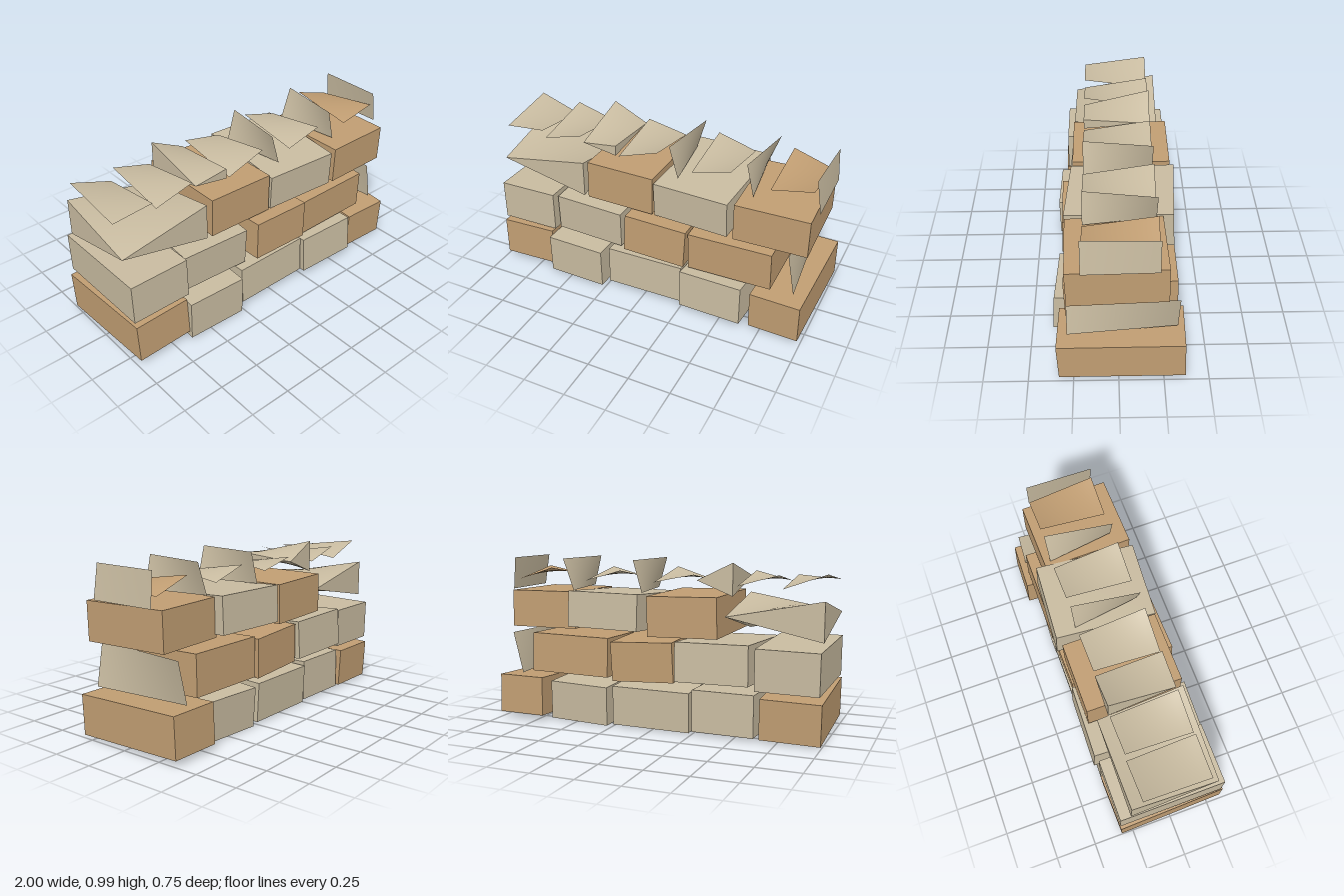
import * as THREE from 'three';
import { ParametricGeometry } from 'three/addons/geometries/ParametricGeometry.js';

const sandstone = new THREE.MeshStandardMaterial({ color: 0xc8bba0, side: THREE.DoubleSide });
sandstone.name = 'sandstone';
const clay = new THREE.MeshStandardMaterial({ color: 0xc09d72, side: THREE.DoubleSide });
clay.name = 'clay';

// Smoothly twisted surface between four corners: a-b is one edge, c-d the opposite one
function patch(name, material, a, b, c, d) {
  const [A, B, C, D] = [a, b, c, d].map((p) => new THREE.Vector3(...p));
  const p = new THREE.Vector3(), q = new THREE.Vector3();
  const geometry = new ParametricGeometry((u, v, target) => {
    p.lerpVectors(A, B, u);
    q.lerpVectors(C, D, u);
    target.lerpVectors(p, q, v);
  }, 10, 10);
  geometry.computeVertexNormals();
  const mesh = new THREE.Mesh(geometry, material);
  mesh.name = name;
  return mesh;
}

// Whole block, slightly tilted
function block(name, material, size, position, tilt) {
  const mesh = new THREE.Mesh(new THREE.BoxGeometry(...size), material);
  mesh.name = name;
  mesh.position.set(...position);
  mesh.rotation.set(...tilt);
  return mesh;
}

// Warped block: back left and front right keep an upright edge, the other corners close to a point
function warpedBlock(name, [x0, x1], [z0, z1], backLeft, frontRight, frontLeftY, backRightY) {
  const group = new THREE.Group();
  group.name = name;
  const bl = backLeft.map((y) => [x0, y, z0]);
  const fr = frontRight.map((y) => [x1, y, z1]);
  const fl = [x0, frontLeftY, z1];
  const br = [x1, backRightY, z0];
  group.add(
    patch('warpedTop', sandstone, fl, fr[1], bl[1], br),
    patch('warpedBottom', sandstone, bl[0], br, fl, fr[0]),
    patch('warpedFront', sandstone, fl, fr[0], fl, fr[1]),
    patch('warpedBack', sandstone, br, bl[0], br, bl[1]),
    patch('warpedLeft', sandstone, bl[0], fl, bl[1], fl),
    patch('warpedRight', sandstone, fr[0], br, fr[1], br),
  );
  return group;
}

export function createModel() {
  const wall = new THREE.Group();
  wall.name = 'blockWall';

  // Courses of blocks: material, size, centre, tilt
  const courses = {
    bottomBlock: [
      [clay, [0.345, 0.235, 0.66], [-0.82, 0.147, 0], [-0.04, 0.02, 0.02]],
      [sandstone, [0.37, 0.245, 0.68], [-0.445, 0.14, 0.02], [0.015, -0.03, 0]],
      [sandstone, [0.48, 0.235, 0.65], [0.005, 0.145, 0], [-0.04, 0, 0.01]],
      [sandstone, [0.385, 0.235, 0.68], [0.46, 0.143, 0.02], [-0.05, -0.05, 0.02]],
      [clay, [0.3, 0.235, 0.7], [0.84, 0.143, -0.018], [0.04, -0.03, 0]],
    ],
    middleBlock: [
      [sandstone, [0.365, 0.24, 0.64], [-0.805, 0.415, -0.01], [-0.015, 0, 0.01]],
      [sandstone, [0.44, 0.23, 0.62], [-0.382, 0.417, -0.035], [0.045, -0.03, -0.015]],
      [clay, [0.385, 0.235, 0.65], [0.065, 0.415, 0], [-0.025, 0.02, -0.04]],
      [clay, [0.505, 0.235, 0.62], [0.53, 0.412, -0.015], [0.03, 0, 0.015]],
    ],
    topBlock: [
      [clay, [0.425, 0.235, 0.57], [-0.185, 0.68, -0.03], [0, 0, -0.02]],
      [sandstone, [0.465, 0.215, 0.6], [0.292, 0.682, -0.025], [0.05, -0.065, 0.01]],
      [clay, [0.43, 0.225, 0.535], [0.75, 0.675, 0.013], [0.02, 0.025, -0.005]],
    ],
  };
  for (const [name, row] of Object.entries(courses)) {
    row.forEach(([material, size, position, tilt], i) => {
      wall.add(block(`${name}${i + 1}`, material, size, position, tilt));
    });
  }

  // Warped blocks
  wall.add(
    warpedBlock('warpedEndBlock', [-0.99, -0.43], [-0.27, 0.25], [0.575, 0.8], [0.565, 0.785], 0.69, 0.69),
    warpedBlock('warpedCapBlock', [-0.455, -0.24], [-0.21, 0.19], [0.8, 0.99], [0.853, 0.915], 0.89, 0.885),
  );

  // Lying twisted slabs: left x, right x, then heights at back left, front left, back right, front right
  [
    [sandstone, -0.99, -0.74, 0.94, 0.885, 0.85, 0.905],
    [sandstone, -0.72, -0.48, 0.928, 0.862, 0.858, 0.922],
    [sandstone, -0.22, 0.03, 0.917, 0.853, 0.864, 0.933],
    [sandstone, 0.245, 0.48, 0.928, 0.862, 0.858, 0.922],
    [clay, 0.71, 0.95, 0.933, 0.87, 0.853, 0.917],
  ].forEach(([material, x0, x1, bl, fl, br, fr], i) => {
    wall.add(patch(`lyingSlab${i + 1}`, material,
      [x0, fl, 0.19], [x1, fr, 0.19], [x0, bl, -0.21], [x1, br, -0.21]));
  });

  // Standing twisted slabs: heights, depths, then x at top front, top back, bottom front, bottom back
  [
    [0.8, 0.99, 0.19, -0.21, 0.105, 0.16, 0.16, 0.105],
    [0.8, 0.99, 0.19, -0.21, 0.57, 0.628, 0.615, 0.558],
    [0.287, 0.537, 0.28, -0.325, 0.87, 0.922, 0.917, 0.86],
    [0.795, 0.99, 0.195, -0.207, 0.963, 0.97, 0.995, 0.985],
  ].forEach(([y0, y1, zf, zb, tf, tb, bf, bb], i) => {
    wall.add(patch(`standingSlab${i + 1}`, sandstone,
      [bf, y0, zf], [bb, y0, zb], [tf, y1, zf], [tb, y1, zb]));
  });

  return wall;
}
